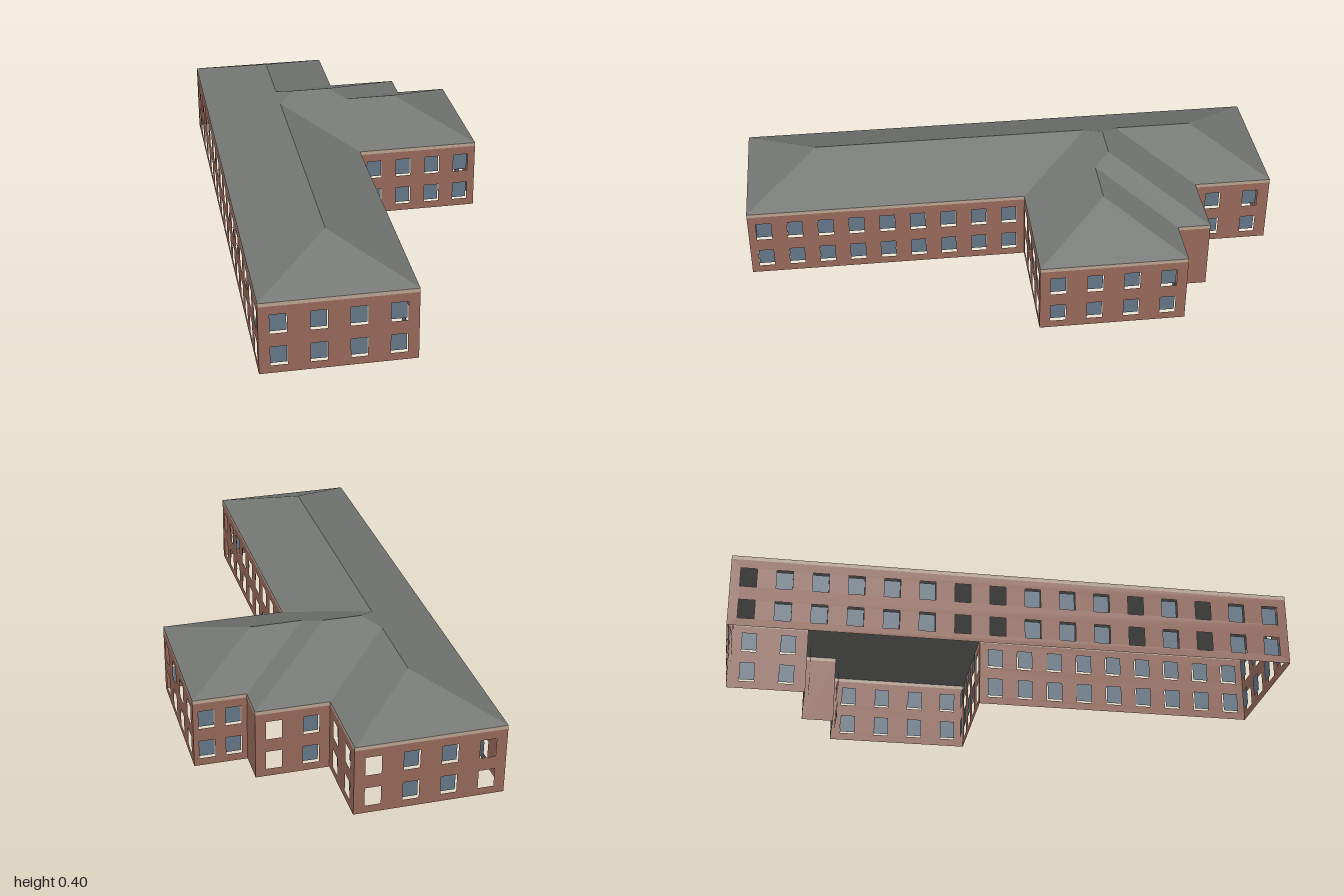
import * as THREE from 'three';

// Plan lines (x: west, inner, step, far east; z: wing south, wing north, step north)
const W = -0.497, E = 0.04, X1 = 0.305, X2 = 0.497;
const S = -0.046, N1 = -0.707, N2 = -0.585;
const BRICK_TOP = 0.254, EAVE = 0.268, PITCH = 0.4;
const WIN_W = 0.057, WIN_H = 0.071, SILLS = [0.029, 0.151], RECESS = 0.015;

const flat = (name, color) => {
  const m = new THREE.MeshStandardMaterial({ color, side: THREE.DoubleSide });
  m.name = name;
  return m;
};

function rectangle(Type, x, y, w, h) {
  const r = new Type();
  r.moveTo(x, y);
  r.lineTo(x + w, y);
  r.lineTo(x + w, y + h);
  r.lineTo(x, y + h);
  r.closePath();
  return r;
}

export function createModel() {
  const model = new THREE.Group();
  model.name = 'building';
  const brick = flat('brick', 0x98695a);
  const trim = flat('cream trim', 0xbba593);
  const glass = flat('window glass', 0x647788);
  const slate = flat('grey roof', 0x747773);

  const add = (parent, name, geometry, material) => {
    const mesh = new THREE.Mesh(geometry, material);
    mesh.name = name;
    parent.add(mesh);
    return mesh;
  };

  // Sheet wall from a to b with two rows of window openings and recessed panes;
  // columns listed in "open" have no glass
  function wall(name, a, b, columns, open = []) {
    const dx = b[0] - a[0], dz = b[1] - a[1], length = Math.hypot(dx, dz);
    const group = new THREE.Group();
    group.name = name;
    group.position.set(a[0], 0, a[1]);
    group.rotation.y = Math.atan2(-dz, dx);
    const sheet = rectangle(THREE.Shape, 0, 0, length, BRICK_TOP);
    const panes = [];
    for (let i = 0; i < columns; i++) {
      const x = ((i + 0.5) / columns) * length - WIN_W / 2;
      for (const y of SILLS) {
        sheet.holes.push(rectangle(THREE.Path, x, y, WIN_W, WIN_H));
        if (!open.includes(i)) panes.push(rectangle(THREE.Shape, x, y, WIN_W, WIN_H));
      }
    }
    add(group, 'brickwork', new THREE.ShapeGeometry(sheet), brick);
    const band = rectangle(THREE.Shape, 0, BRICK_TOP, length, EAVE - BRICK_TOP);
    add(group, 'eavesBand', new THREE.ShapeGeometry(band), trim);
    if (panes.length) {
      add(group, 'windowPanes', new THREE.ShapeGeometry(panes), glass).position.z = -RECESS;
    }
    model.add(group);
  }

  // Walls, anticlockwise around the plan
  wall('frontWall', [W, 1], [E, 1], 4);
  wall('mainLeftWall', [E, 1], [E, S], 9);
  wall('wingFrontWall', [E, S], [X2, S], 4);
  wall('wingEndWall', [X2, S], [X2, N2], 4);
  wall('wingOuterBackWall', [X2, N2], [X1, N2], 2);
  wall('wingStepWall', [X1, N2], [X1, N1], 0);
  wall('wingInnerBackWall', [X1, N1], [E, N1], 2, [0]);
  wall('rearLeftWall', [E, N1], [E, -1], 2);
  wall('backWall', [E, -1], [W, -1], 4, [0, 3]);
  wall('mainRightWall', [W, -1], [W, 1], 16, [0, 6, 7, 11, 13]);

  // Roof slope: the first two plan points are the eave, the rest rise with distance from it
  const roof = new THREE.Group();
  roof.name = 'roof';
  model.add(roof);
  function slope(name, ...points) {
    const [[ax, az], [bx, bz]] = points;
    const length = Math.hypot(bx - ax, bz - az);
    const shape = new THREE.Shape(points.map(([x, z]) => new THREE.Vector2(x, -z)));
    const geometry = new THREE.ShapeGeometry(shape).rotateX(-Math.PI / 2);
    const p = geometry.attributes.position;
    for (let i = 0; i < p.count; i++) {
      const away = Math.abs((bx - ax) * (p.getZ(i) - az) - (bz - az) * (p.getX(i) - ax)) / length;
      p.setY(i, EAVE + PITCH * away);
    }
    geometry.computeVertexNormals();
    add(roof, name, geometry, slate);
  }

  // Half spans give the ridge lines of the main block, deep wing and shallow wing
  const h = (E - W) / 2, a = (S - N1) / 2, b = (S - N2) / 2;
  const ridge = W + h, frontHip = [ridge, 1 - h], backHip = [ridge, h - 1];
  const valleyFront = [ridge, S - h], valleyBack = [ridge, N1 + h];
  const peakWest = [W + a, S - a], peakEast = [X1 - a, S - a];
  const lowWest = [X1 - b, S - b], lowEast = [X2 - b, S - b];

  slope('frontHip', [W, 1], [E, 1], frontHip);
  slope('mainLeftSlope', [E, 1], [E, S], valleyFront, frontHip);
  slope('wingFrontSlope', [E, S], [X2, S], lowEast, lowWest, peakEast, peakWest, valleyFront);
  slope('wingEndHip', [X2, S], [X2, N2], lowEast);
  slope('wingOuterBackSlope', [X2, N2], [X1, N2], lowWest, lowEast);
  slope('wingStepSlope', [X1, N2], [X1, N1], peakEast, lowWest);
  slope('wingInnerBackSlope', [X1, N1], [E, N1], valleyBack, peakWest, peakEast);
  slope('rearLeftSlope', [E, N1], [E, -1], backHip, valleyBack);
  slope('backHip', [E, -1], [W, -1], backHip);
  slope('mainRightSlope', [W, -1], [W, 1], frontHip, valleyFront, peakWest, valleyBack, backHip);

  return model;
}
